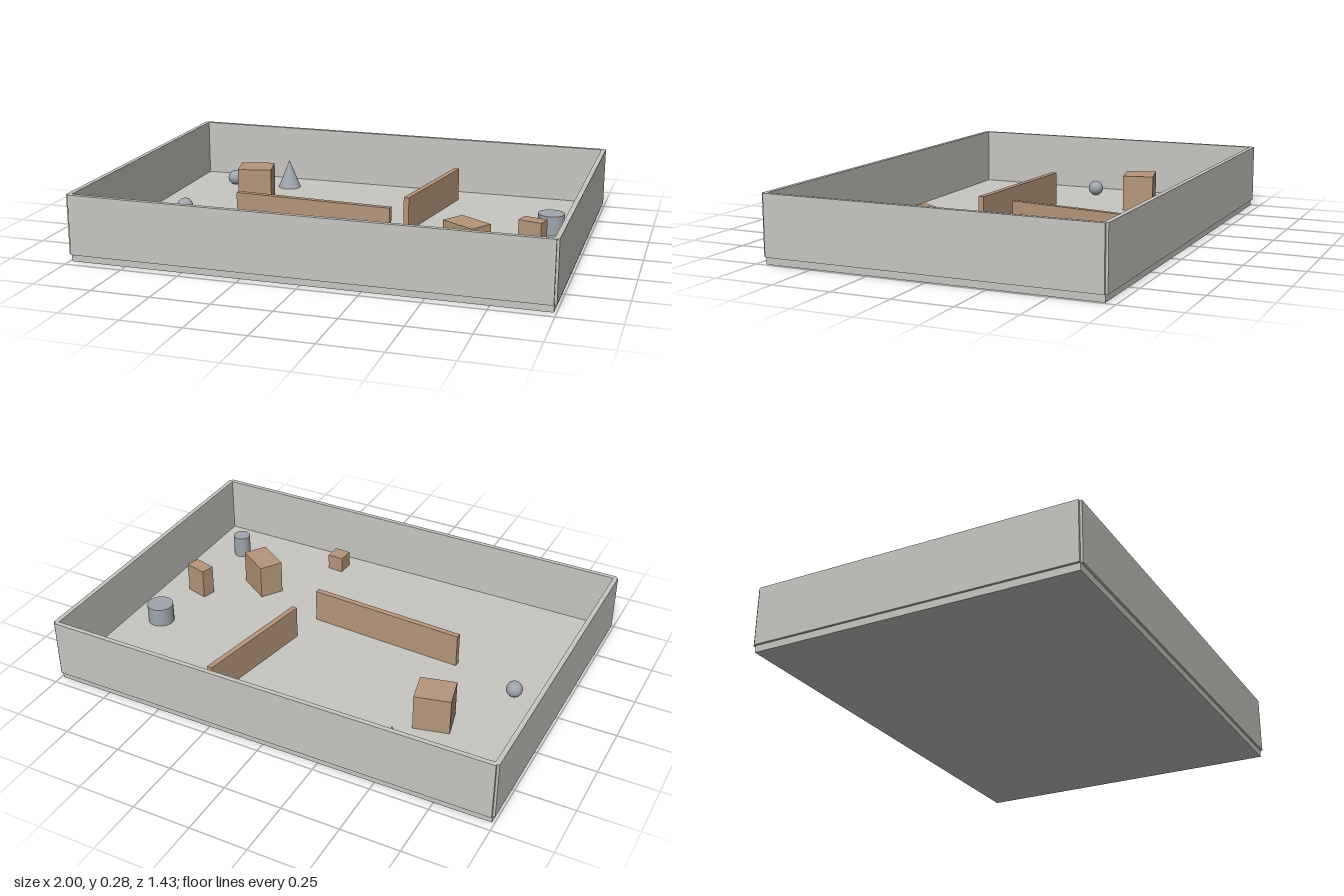
import * as THREE from 'three';

const mat = (name, color) => {
  const m = new THREE.MeshStandardMaterial({ color });
  m.name = name;
  return m;
};

export function createModel() {
  const group = new THREE.Group();
  const stone = mat('pale grey', 0xc8c6c1);
  const wood = mat('light wood', 0xb5967a);
  const metal = mat('blue grey', 0xa0a5ad);

  const add = (name, geometry, material, x, y, z, turn = 0) => {
    const mesh = new THREE.Mesh(geometry, material);
    mesh.name = name;
    mesh.position.set(x, y, z);
    mesh.rotation.y = turn;
    group.add(mesh);
    return mesh;
  };

  // Arena floor, with walls centred on its edges
  const W = 1.98, D = 1.414, T = 0.02, floorH = 0.03, wallH = 0.255;
  add('floor', new THREE.BoxGeometry(W, floorH, D), stone, 0, floorH / 2, 0);
  const wallY = floorH + wallH / 2;
  for (const s of [1, -1]) {
    add(s > 0 ? 'frontWall' : 'backWall', new THREE.BoxGeometry(W, wallH, T), stone, 0, wallY, s * D / 2);
    add(s > 0 ? 'leftWall' : 'rightWall', new THREE.BoxGeometry(T, wallH, D), stone, s * W / 2, wallY, 0);
  }

  // Wooden boxes and barriers: name, width, height, depth, x, z, turn
  const blocks = [
    ['longBarrier', 0.706, 0.15, 0.025, -0.142, 0.137, -0.055],
    ['shortBarrier', 0.56, 0.15, 0.024, 0.283, -0.286, 1.398],
    ['largeBox', 0.154, 0.16, 0.137, -0.565, -0.286, 0.23],
    ['wideBox', 0.166, 0.155, 0.108, 0.565, 0.28, -0.579],
    ['narrowBox', 0.102, 0.137, 0.062, 0.805, 0.11, -0.264],
    ['smallBox', 0.073, 0.073, 0.072, 0.329, 0.595, -0.05],
  ];
  for (const [name, w, h, d, x, z, turn] of blocks)
    add(name, new THREE.BoxGeometry(w, h, d), wood, x, floorH + h / 2, z, turn);

  // Round obstacles
  for (const [name, r, h, x, z] of [
    ['wideCylinder', 0.058, 0.085, 0.838, -0.178],
    ['slimCylinder', 0.039, 0.1, 0.81, 0.492],
  ]) add(name, new THREE.CylinderGeometry(r, r, h, 32), metal, x, floorH + h / 2, z);

  add('cone', new THREE.ConeGeometry(0.053, 0.132, 32), metal, -0.495, floorH + 0.066, -0.545);

  const ballR = 0.035;
  for (const [name, x, z] of [['backBall', -0.762, -0.505], ['sideBall', -0.794, 0.021]])
    add(name, new THREE.SphereGeometry(ballR, 32, 16), metal, x, floorH + ballR, z);

  return group;
}
